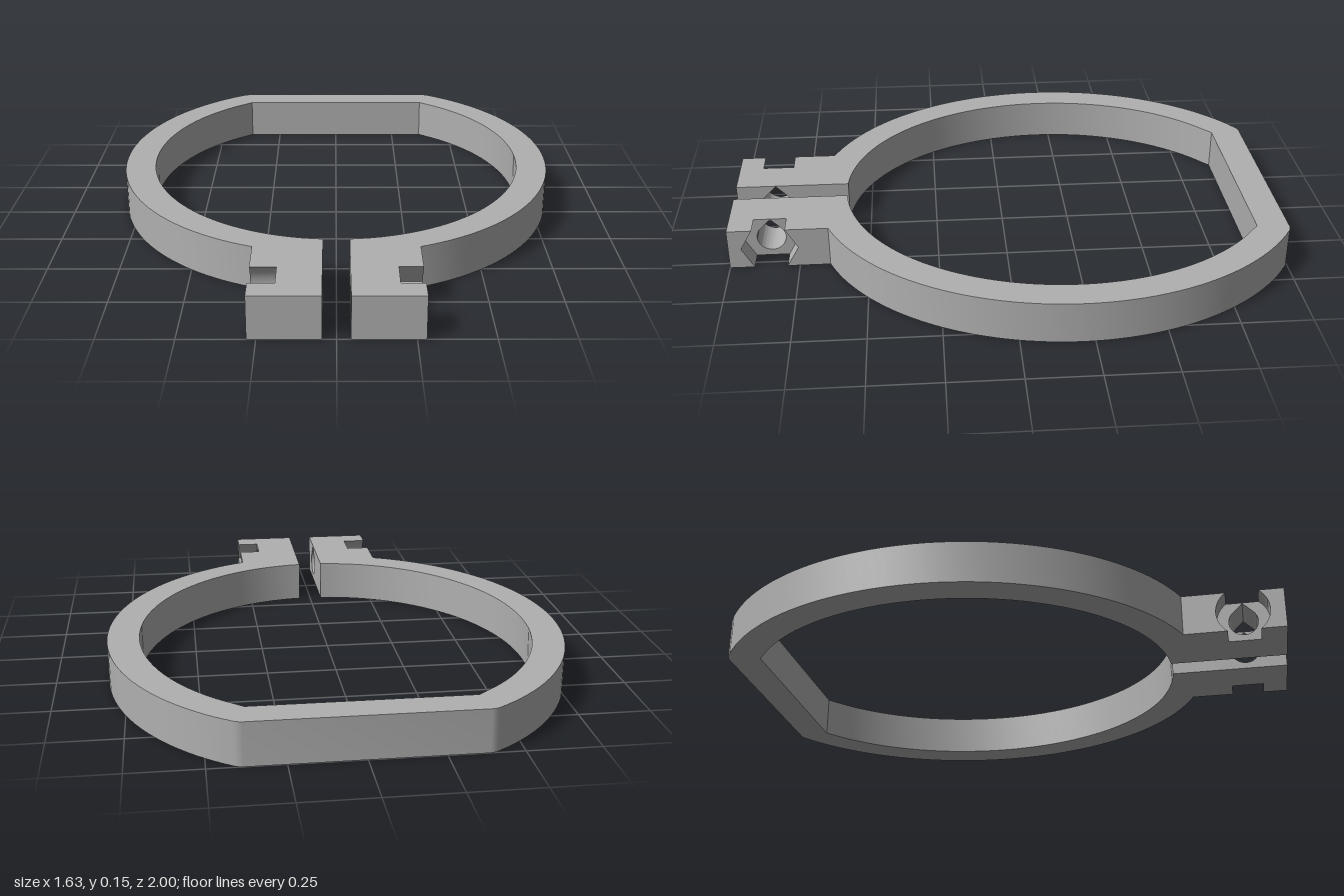
import * as THREE from 'three';
import { toCreasedNormals } from 'three/addons/utils/BufferGeometryUtils.js';

const H = 0.15;              // band height
const CZ = -0.21;            // centre of the oval ring
const GAP = 0.045, TAB = 0.28, SPLIT = 0.74; // tab inner x, outer x, start of the drilled part
const BOLT_Z = 0.853, BOLT_Y = H / 2;

// Points of an ellipse quarter-to-quarter sweep, given by its end x values (front end to back end)
function ovalPoints(a, b, xFront, xBack, n = 48) {
  const t0 = Math.asin(xFront / a), t1 = Math.PI - Math.asin(xBack / a);
  return Array.from({ length: n + 1 }, (_, i) => {
    const t = t0 + (t1 - t0) * i / n;
    return new THREE.Vector2(a * Math.sin(t), CZ + b * Math.cos(t));
  });
}

export function createModel() {
  const group = new THREE.Group();
  group.name = 'clampRing';
  const grey = new THREE.MeshStandardMaterial({ color: 0xb0b0b0 });
  grey.name = 'grey';

  const add = (name, geometry) => {
    const mesh = new THREE.Mesh(toCreasedNormals(geometry, 0.35), grey);
    mesh.name = name;
    group.add(mesh);
    return mesh;
  };

  // Split oval band with a flat back, including the roots of the two tabs
  const bend = new THREE.QuadraticBezierCurve(
    new THREE.Vector2(0.43, -0.979), new THREE.Vector2(0.405, -1), new THREE.Vector2(0.385, -1)
  ).getPoints(4);
  const outer = [
    new THREE.Vector2(GAP, SPLIT), new THREE.Vector2(TAB, SPLIT),
    ...ovalPoints(0.816, 0.906, TAB, 0.436), ...bend,
  ];
  const inner = ovalPoints(0.702, 0.792, GAP, 0.372);
  inner[inner.length - 1].y = -0.885;
  const mirror = (pts) => pts.map((p) => new THREE.Vector2(-p.x, p.y)).reverse();
  const outline = [...outer, ...mirror(outer), ...mirror(inner).reverse(), ...inner.slice().reverse()];
  const bandShape = new THREE.Shape(outline.map((p) => new THREE.Vector2(p.x, -p.y)));
  const band = new THREE.ExtrudeGeometry(bandShape, { depth: H, bevelEnabled: false });
  add('band', band.rotateX(-Math.PI / 2));

  // Extrudes a z-y section along x between x0 and x1
  const slab = (name, shape, x0, x1) => {
    const g = new THREE.ExtrudeGeometry(shape, { depth: x1 - x0, bevelEnabled: false, curveSegments: 32 });
    add(name, g.rotateY(-Math.PI / 2).translate(x1, 0, 0));
  };

  // Tab plate with a teardrop bolt hole
  const plate = new THREE.Shape([
    new THREE.Vector2(SPLIT, 0), new THREE.Vector2(1, 0),
    new THREE.Vector2(1, H), new THREE.Vector2(SPLIT, H),
  ]);
  const r = 0.052, hole = new THREE.Path();
  hole.absarc(BOLT_Z, BOLT_Y, r, Math.PI * 0.75, Math.PI * 2.25, false);
  hole.lineTo(BOLT_Z, BOLT_Y + r * 1.4);
  hole.closePath();
  plate.holes.push(hole);

  // Half widths of the nut pocket (hexagon) and bolt head pocket (circle) at height y
  const hexWidth = (y) => 0.102 - Math.abs(y - BOLT_Y) / Math.sqrt(3);
  const roundWidth = (y) => Math.sqrt(0.0945 ** 2 - (y - BOLT_Y) ** 2);

  // Jaw on one side of a pocket, from the edge z to the pocket wall
  const jawShape = (edge, width, steps) => {
    const side = Math.sign(edge - BOLT_Z);
    const pts = [new THREE.Vector2(edge, H), new THREE.Vector2(edge, 0)];
    for (let i = 0; i <= steps; i++) {
      const y = H * i / steps;
      pts.push(new THREE.Vector2(BOLT_Z + side * width(y), y));
    }
    return new THREE.Shape(pts);
  };

  // Left tab with the nut pocket
  slab('leftTab', plate, GAP, 0.2);
  slab('leftTabRearJaw', jawShape(SPLIT, hexWidth, 2), 0.2, TAB);
  slab('leftTabFrontJaw', jawShape(1, hexWidth, 2), 0.2, TAB);

  // Right tab with the bolt head pocket
  slab('rightTab', plate, -0.192, -GAP);
  slab('rightTabRearJaw', jawShape(SPLIT, roundWidth, 16), -TAB, -0.192);
  slab('rightTabFrontJaw', jawShape(1, roundWidth, 16), -TAB, -0.192);

  return group;
}
